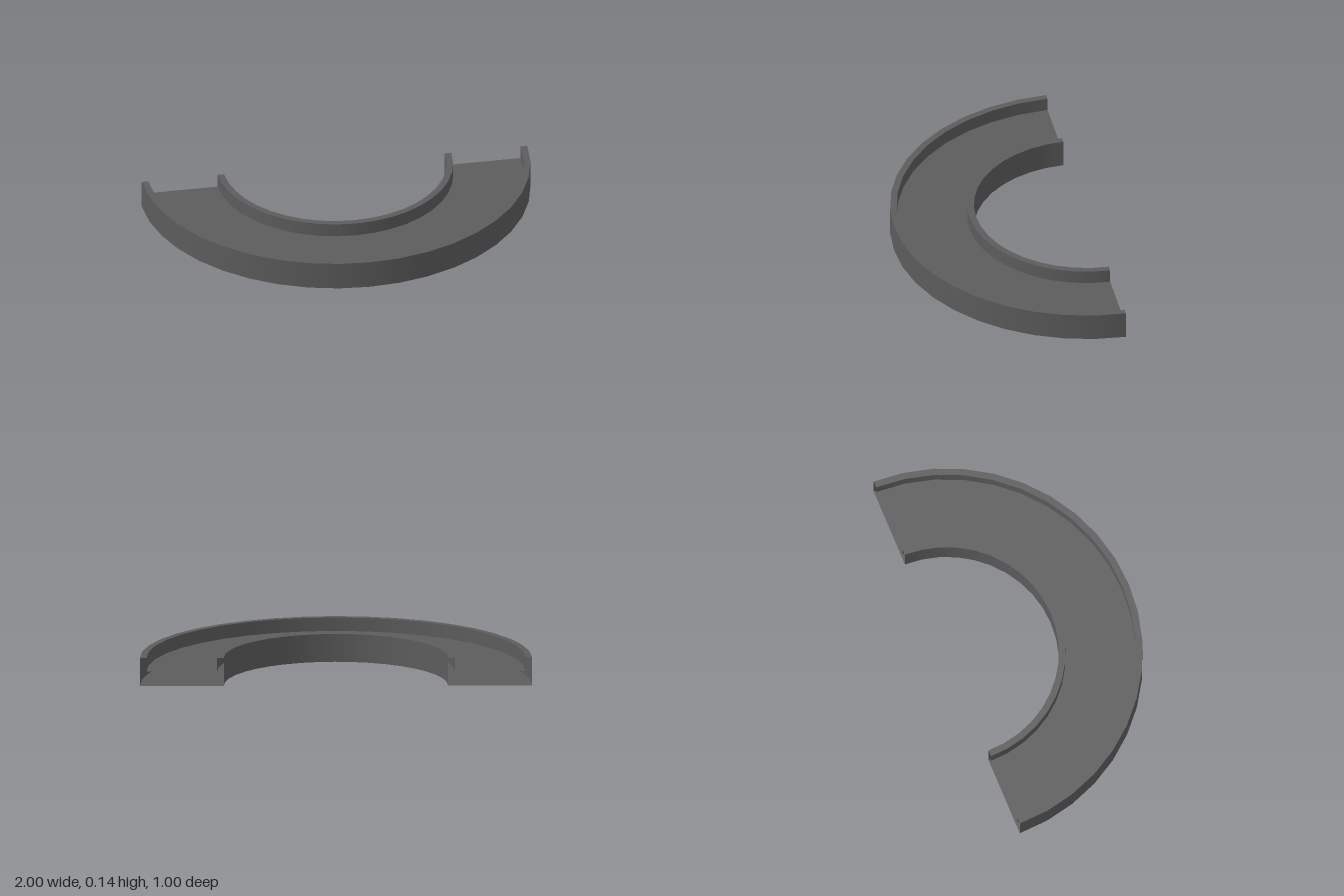
import * as THREE from 'three';

export function createModel() {
  const model = new THREE.Group();
  const grey = new THREE.MeshStandardMaterial({ color: 0x5c5c5c, side: THREE.DoubleSide });
  grey.name = 'dark grey';

  // Channel dimensions
  const outer = 1, inner = 0.572, wall = 0.034, height = 0.145, floor = 0.075;

  // Closed cross-section (radius, height), counter-clockwise; ends stay open
  const profile = [
    ['underside', inner, 0],
    ['outerWall', outer, 0],
    ['outerRim', outer, height],
    ['outerLip', outer - wall, height],
    ['channelFloor', outer - wall, floor],
    ['innerLip', inner + wall, floor],
    ['innerRim', inner + wall, height],
    ['innerWall', inner, height],
  ];

  // One half-turn strip per profile edge: crisp corners, smooth curve
  profile.forEach(([name, r, y], i) => {
    const [, r2, y2] = profile[(i + 1) % profile.length];
    const edge = [new THREE.Vector2(r, y), new THREE.Vector2(r2, y2)];
    const mesh = new THREE.Mesh(new THREE.LatheGeometry(edge, 20, -Math.PI / 2, Math.PI), grey);
    mesh.name = name;
    mesh.position.z = -0.5;
    model.add(mesh);
  });

  model.name = 'curvedChannel';
  return model;
}
